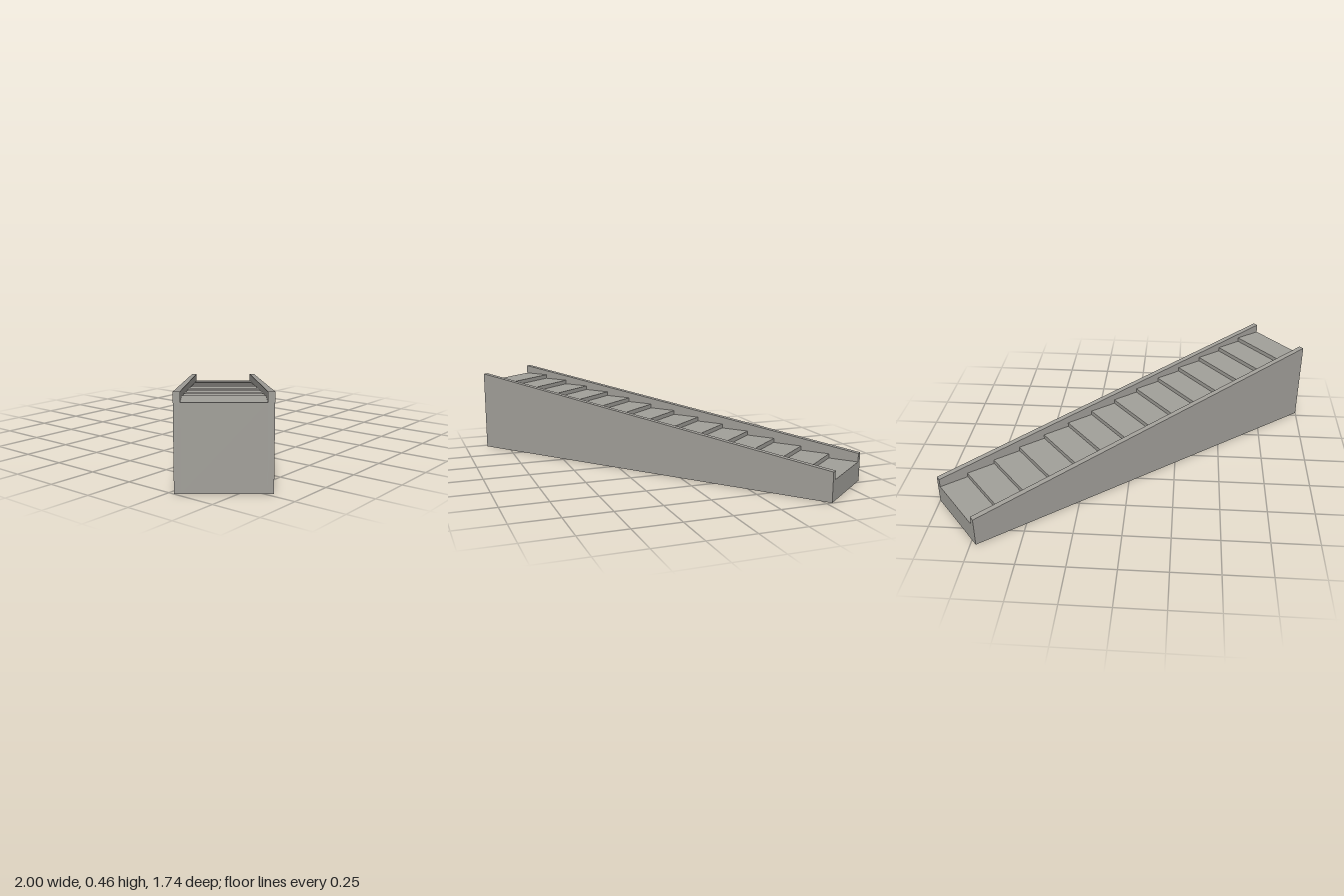
import * as THREE from 'three';

const LENGTH = 2.22, WIDTH = 0.44, WALL = 0.031;
const STEPS = 14, TREAD_HIGH = 0.41, TREAD_LOW = 0.11;
const WALL_HIGH = 0.458, WALL_LOW = 0.156;

export function createModel() {
  const model = new THREE.Group();
  model.name = 'staircase';
  const material = new THREE.MeshStandardMaterial({ color: 0xa2a09a, flatShading: true });

  // Extrude a side profile across the stair, centred on z
  const addSlab = (name, points, width, z) => {
    const shape = new THREE.Shape(points.map(([x, y]) => new THREE.Vector2(x, y)));
    const geometry = new THREE.ExtrudeGeometry(shape, { depth: width, bevelEnabled: false });
    geometry.translate(0, 0, z - width / 2);
    const mesh = new THREE.Mesh(geometry, material);
    mesh.name = name;
    model.add(mesh);
  };

  // Solid flight of steps, descending towards +x
  const half = LENGTH / 2, run = LENGTH / STEPS;
  const rise = (TREAD_HIGH - TREAD_LOW) / (STEPS - 1);
  const flight = [[-half, 0], [half, 0]];
  for (let i = STEPS - 1; i >= 0; i--) {
    const y = TREAD_HIGH - i * rise;
    flight.push([-half + (i + 1) * run, y], [-half + i * run, y]);
  }
  addSlab('steps', flight, WIDTH - 2 * WALL, 0);

  // Sloping side walls
  const wall = [[-half, 0], [half, 0], [half, WALL_LOW], [-half, WALL_HIGH]];
  for (const side of [1, -1]) {
    addSlab(side > 0 ? 'frontSideWall' : 'backSideWall', wall, WALL, side * (WIDTH - WALL) / 2);
  }

  // The flight runs diagonally across the plan
  model.rotation.y = Math.atan2(1.4, 1.72);
  const root = new THREE.Group();
  root.add(model);
  return root;
}
